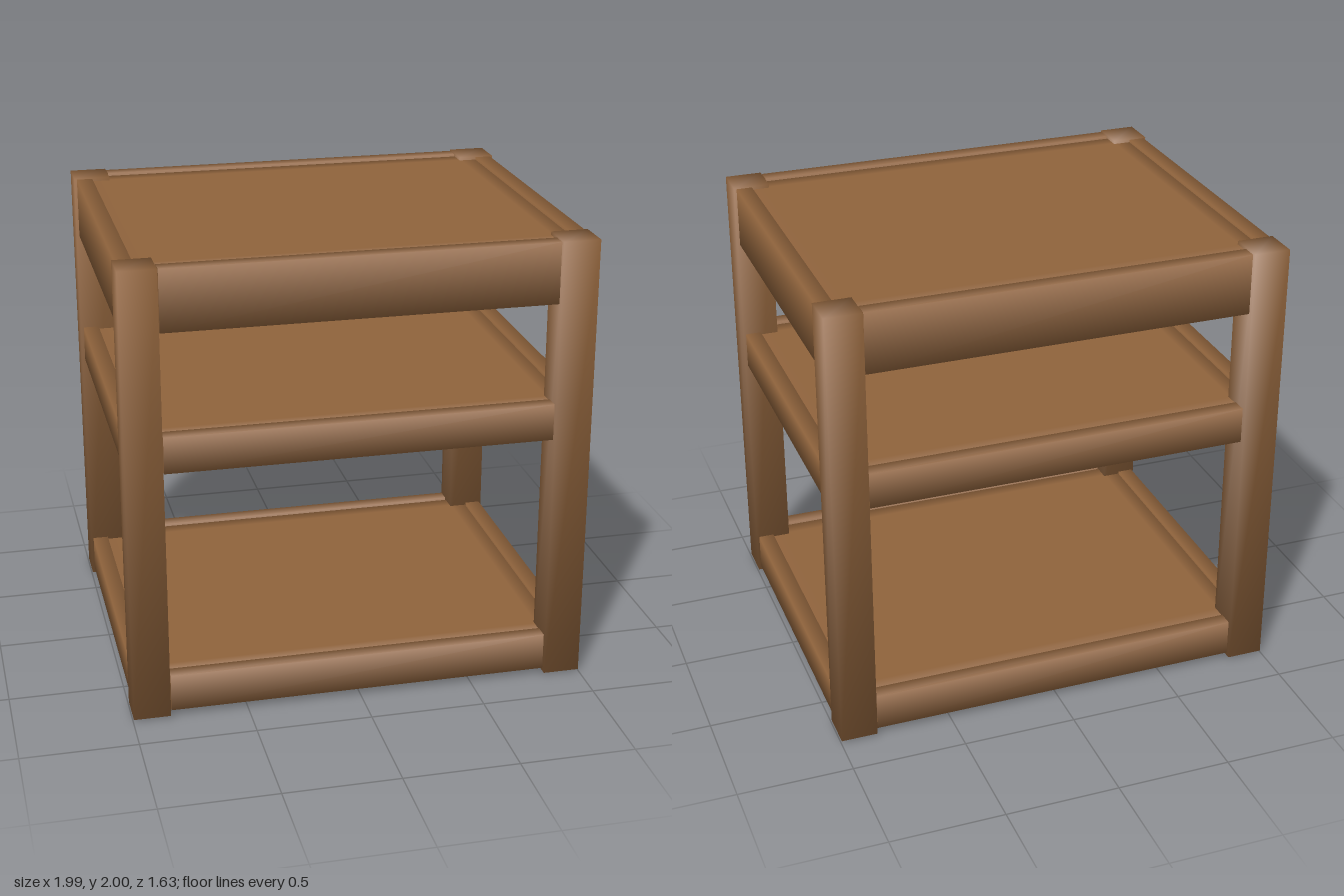
import * as THREE from 'three';

// Box whose corner normals are blended along the chosen axes (softly shaded edges).
// With an inset, the broad faces get an extra ring so only their border is blended.
function softBox(w, h, d, blend, inset = 0) {
  const n = inset ? 3 : 1;
  const geo = new THREE.BoxGeometry(w, h, d, n, 1, n);
  const pos = geo.attributes.position, nor = geo.attributes.normal;
  const v = new THREE.Vector3(), m = new THREE.Vector3();
  const half = [w / 2, h / 2, d / 2];
  for (let i = 0; i < pos.count; i++) {
    v.fromBufferAttribute(pos, i);
    m.fromBufferAttribute(nor, i);
    const face = m.toArray();
    const p = v.toArray().map((c, a) => {
      const onEdge = Math.abs(Math.abs(c) - half[a]) < 1e-4;
      if (!onEdge && inset && a !== 1) return Math.sign(c) * (half[a] - inset);
      return c;
    });
    // Flat end caps keep their own normal
    const capped = face.some((c, a) => Math.abs(c) > 0.5 && !blend[a]);
    if (!capped) {
      m.set(...p.map((c, a) =>
        blend[a] && Math.abs(Math.abs(c) - half[a]) < 1e-4 ? Math.sign(c) : 0)).normalize();
    }
    pos.setXYZ(i, ...p);
    nor.setXYZ(i, m.x, m.y, m.z);
  }
  return geo;
}

export function createModel() {
  const wood = new THREE.MeshStandardMaterial({ color: 0x8f633c });
  wood.name = 'brown wood';
  const rubber = new THREE.MeshStandardMaterial({ color: 0x2b2d30 });
  rubber.name = 'dark foot pad';

  const table = new THREE.Group();
  table.name = 'sideTable';
  const add = (parent, name, geo, mat, x, y, z) => {
    const mesh = new THREE.Mesh(geo, mat);
    mesh.name = name;
    mesh.position.set(x, y, z);
    parent.add(mesh);
  };

  // Four square legs with thin pads underneath
  const legGeo = softBox(0.16, 1.99, 0.16, [1, 1, 1]);
  const padGeo = new THREE.CylinderGeometry(0.05, 0.05, 0.02, 16);
  for (const sx of [-1, 1]) for (const sz of [-1, 1]) {
    add(table, 'leg', legGeo, wood, sx * 0.917, 1.005, sz * 0.735);
    add(table, 'footPad', padGeo, rubber, sx * 0.917, 0.01, sz * 0.735);
  }

  // Three levels: a panel framed by four rails
  const levels = [
    ['top', 1.73, 1.997],
    ['middleShelf', 1.125, 1.285],
    ['bottomShelf', 0.03, 0.195],
  ];
  for (const [name, low, high] of levels) {
    const level = new THREE.Group();
    level.name = name;
    const h = high - low, y = (low + high) / 2;
    const longRail = softBox(1.666, h, 0.066, [0, 1, 1]);
    const sideRail = softBox(0.07, h, 1.306, [1, 1, 0]);
    for (const s of [-1, 1]) {
      add(level, 'longRail', longRail, wood, 0, y, s * 0.77);
      add(level, 'sideRail', sideRail, wood, s * 0.951, y, 0);
    }
    const panel = softBox(1.83, 0.08, 1.472, [1, 1, 1], 0.07);
    add(level, 'panel', panel, wood, 0, high - 0.052, 0);
    table.add(level);
  }
  return table;
}
